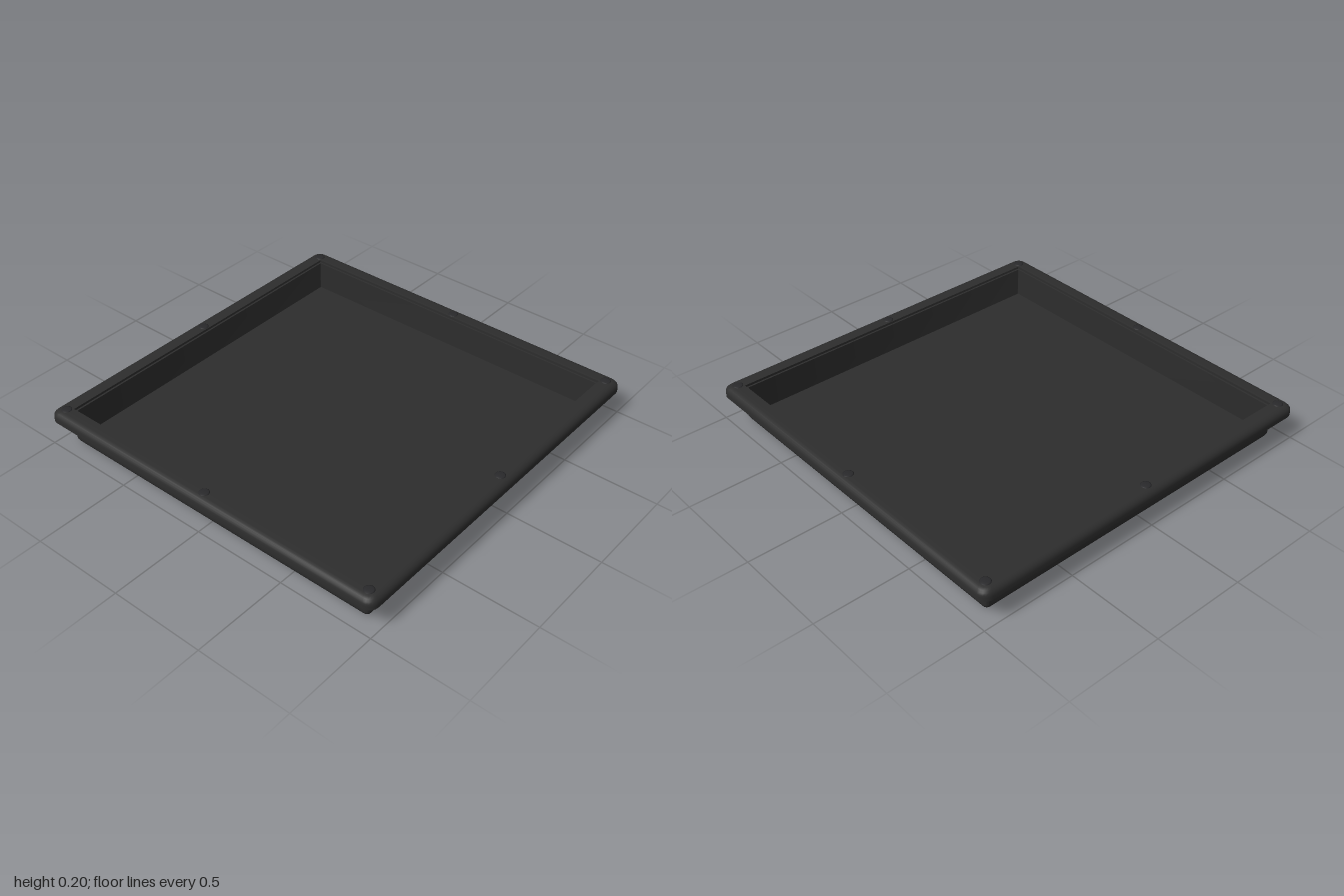
import * as THREE from 'three';
import { toCreasedNormals } from 'three/addons/utils/BufferGeometryUtils.js';

const STEPS = 5; // segments per rounded corner

// Horizontal rounded square: half width h, corner radius r, height y
function squareLoop([h, y, r]) {
  const pts = [];
  for (let c = 0; c < 4; c++) {
    const mid = Math.PI / 4 + c * Math.PI / 2;
    const cx = Math.sign(Math.cos(mid)) * (h - r);
    const cz = Math.sign(Math.sin(mid)) * (h - r);
    for (let i = 0; i <= STEPS; i++) {
      const a = (c + i / STEPS) * Math.PI / 2;
      pts.push([cx + r * Math.cos(a), y, cz + r * Math.sin(a)]);
    }
  }
  return pts;
}

// Skin a list of [half width, height, corner radius] sections
function loft(sections) {
  const loops = sections.map(squareLoop);
  const n = loops[0].length;
  const index = [];
  for (let s = 0; s < loops.length - 1; s++) {
    for (let i = 0; i < n; i++) {
      const a = s * n + i, b = s * n + (i + 1) % n;
      index.push(a, a + n, b, b, a + n, b + n);
    }
  }
  const geo = new THREE.BufferGeometry();
  geo.setAttribute('position', new THREE.Float32BufferAttribute(loops.flat(2), 3));
  geo.setIndex(index);
  return toCreasedNormals(geo, 0.6);
}

// Quarter-round run of sections between two angles
function fillet(h, y, radius, from, to, corner) {
  return Array.from({ length: 6 }, (_, i) => {
    const a = from + (to - from) * i / 5;
    return [h + radius * Math.cos(a), y + radius * Math.sin(a), corner(i / 5)];
  });
}

export function createModel() {
  const group = new THREE.Group();
  const trayMat = new THREE.MeshStandardMaterial({ color: 0x2d2d2d });
  trayMat.name = 'charcoal';
  const studMat = new THREE.MeshStandardMaterial({ color: 0x29292b });
  studMat.name = 'dark charcoal';

  const add = (name, geo, mat) => {
    const mesh = new THREE.Mesh(geo, mat);
    mesh.name = name;
    group.add(mesh);
    return mesh;
  };

  // Pan: underside, rounded bottom edge, outer wall
  add('panOutside', loft([
    [0, 0, 0],
    ...fillet(0.89, 0.035, 0.035, -Math.PI / 2, 0, () => 0.02),
    [0.925, 0.185, 0.02],
  ]), trayMat);

  // Rim: hollow underside, downturned lip, rounded top edge, flat top
  add('rim', loft([
    [0.925, 0.185, 0.02],
    [0.982, 0.185, 0.035],
    [0.982, 0.145, 0.035],
    [1, 0.145, 0.05],
    ...fillet(0.965, 0.165, 0.035, 0, Math.PI / 2, t => 0.05 - 0.02 * t),
    [0.915, 0.2, 0.004],
    [0.915, 0.188, 0.004],
    [0.905, 0.188, 0.004],
  ]), trayMat);

  // Inside walls and floor
  add('panInside', loft([
    [0.905, 0.188, 0.004],
    [0.905, 0.03, 0.004],
    [0, 0.03, 0],
  ]), trayMat);

  // Low domed studs at the corners and middle of each side
  const dome = new THREE.LatheGeometry([
    [0.026, -0.006], [0.026, 0.001], [0.021, 0.003], [0.012, 0.004], [0, 0.0045],
  ].map(p => new THREE.Vector2(...p)), 20);
  for (const i of [-1, 0, 1]) {
    for (const j of [-1, 0, 1]) {
      if (!i && !j) continue;
      const d = i && j ? 0.94 : 0.945;
      add('rimStud', dome, studMat).position.set(i * d, 0.2, j * d);
    }
  }
  return group;
}
